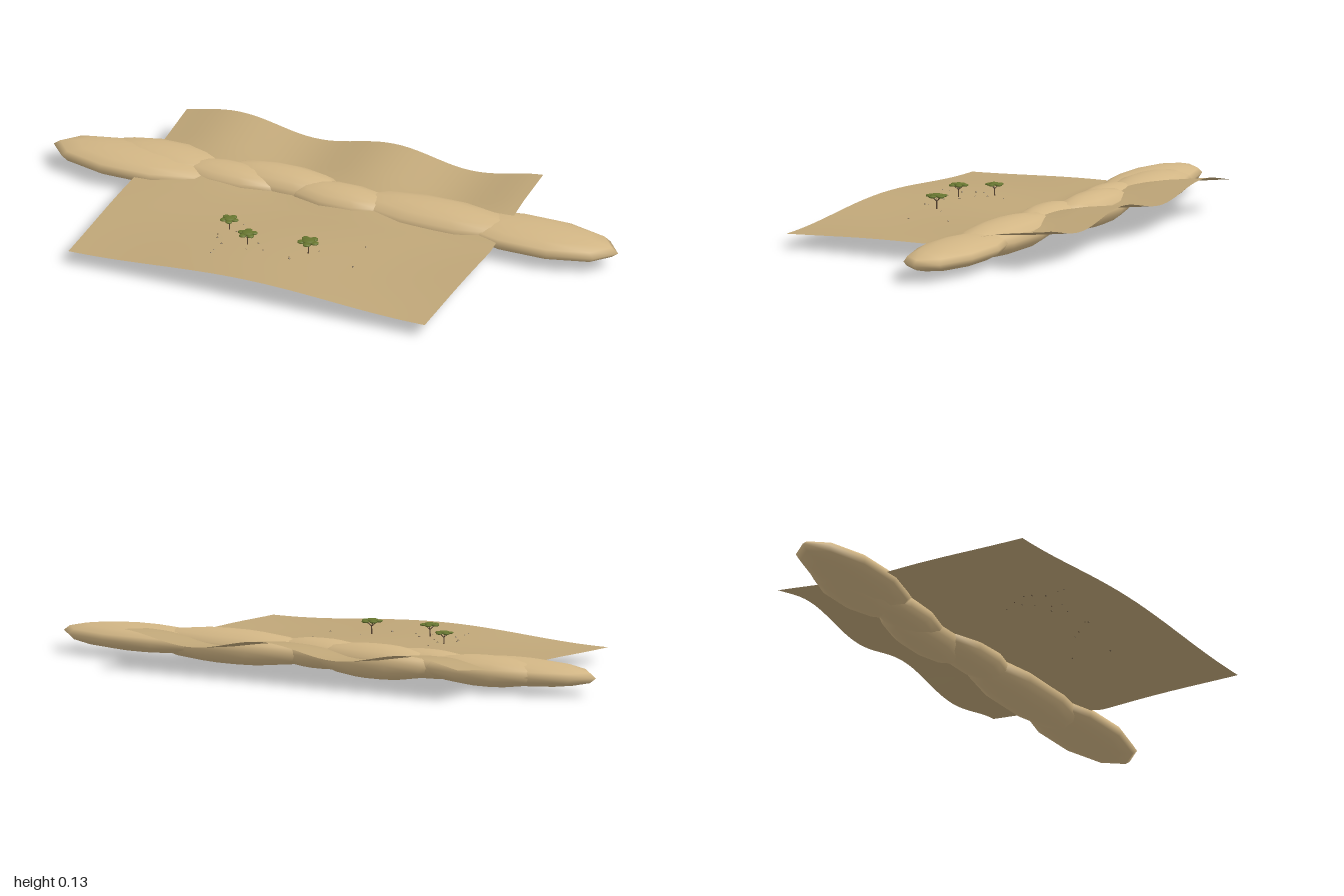
import * as THREE from 'three';

const mat = (name, color, extra = {}) => {
  const m = new THREE.MeshStandardMaterial({ color, ...extra });
  m.name = name;
  return m;
};

// Ground height: gentle swell in front, rippled slope rising to the back
function groundHeight(x, z) {
  const back = Math.max(0, -z - 0.05) / 0.43;
  const front = Math.max(0, z + 0.05) / 0.53;
  const ripple = Math.cos((x - 0.08) * 2 * Math.PI / 0.555);
  const swell = Math.cos((x + 0.04) * 2 * Math.PI / 1.25 + (0.48 - z) * 2);
  return 0.06 + 0.055 * back + 0.02 * Math.min(1, back * 1.6) * ripple
    + 0.015 * front * swell + 0.003 * Math.sin(x * 9 + z * 8) * (1 - back) * (1 - front);
}

export function createModel() {
  const model = new THREE.Group();
  model.name = 'desertLandscape';
  const sand = mat('sand', 0xbfa678, { side: THREE.DoubleSide });
  const dune = mat('duneSand', 0xd2b685);
  const bark = mat('bark', 0x5a4632);
  const leaf = mat('leaf', 0x66752f);
  const stone = mat('stone', 0x75634a);

  const add = (parent, name, geometry, material, x = 0, y = 0, z = 0) => {
    const mesh = new THREE.Mesh(geometry, material);
    mesh.name = name;
    mesh.position.set(x, y, z);
    parent.add(mesh);
    return mesh;
  };

  // Wavy ground sheet
  const ground = new THREE.PlaneGeometry(1.275, 0.96, 48, 36);
  ground.rotateX(-Math.PI / 2).translate(-0.0275, 0, 0);
  const p = ground.attributes.position;
  for (let i = 0; i < p.count; i++) p.setY(i, groundHeight(p.getX(i), p.getZ(i)));
  ground.computeVertexNormals();
  add(model, 'ground', ground, sand);

  // Row of flattened dunes: x, z, half-length, half-height, half-depth
  const dunes = [
    [-0.70, -0.160, 0.30, 0.044, 0.113],
    [-0.61, -0.205, 0.24, 0.050, 0.100],
    [-0.37, -0.180, 0.20, 0.048, 0.075],
    [-0.20, -0.215, 0.24, 0.058, 0.083],
    [0.03, -0.180, 0.20, 0.050, 0.080],
    [0.36, -0.195, 0.33, 0.057, 0.100],
    [0.70, -0.205, 0.30, 0.044, 0.115],
  ];
  const ball = new THREE.SphereGeometry(1, 10, 8);
  const ridge = new THREE.Group();
  ridge.name = 'duneRidge';
  model.add(ridge);
  dunes.forEach(([x, z, rx, ry, rz]) =>
    add(ridge, 'dune', ball, dune, x, ry > 0.055 ? 0.058 : 0.06, z).scale.set(rx, ry, rz));

  // Thin limb between two points
  const limb = (parent, name, a, b, r0, r1) => {
    const dir = b.clone().sub(a);
    const mid = a.clone().add(b).multiplyScalar(0.5);
    const mesh = add(parent, name, new THREE.CylinderGeometry(r1, r0, dir.length(), 5), bark, mid.x, mid.y, mid.z);
    mesh.quaternion.setFromUnitVectors(new THREE.Vector3(0, 1, 0), dir.normalize());
  };

  // Flat-topped trees with forked branches and lobed crowns
  const crown = new THREE.SphereGeometry(1, 8, 6);
  const trees = [[-0.23, 0.16, 0.92], [-0.13, 0.24, 0.98], [0.075, 0.21, 1.08]];
  trees.forEach(([x, z, size], k) => {
    const tree = new THREE.Group();
    tree.name = 'tree';
    tree.position.set(x, groundHeight(x, z) - 0.002, z);
    tree.scale.setScalar(size);
    model.add(tree);
    const fork = new THREE.Vector3(0, 0.026, 0);
    limb(tree, 'trunk', new THREE.Vector3(), fork, 0.0025, 0.0018);
    add(tree, 'crown', crown, leaf, 0, 0.045, 0).scale.set(0.021, 0.0055, 0.021);
    for (let i = 0; i < 5; i++) {
      const a = i * Math.PI * 0.4 + k * 0.7;
      const c = Math.cos(a), s = Math.sin(a);
      limb(tree, 'branch', fork, new THREE.Vector3(c * 0.018, 0.041, s * 0.018), 0.0014, 0.0009);
      add(tree, 'crownLobe', crown, leaf, c * 0.022, 0.0425, s * 0.022).scale.set(0.013, 0.0045, 0.013);
    }
  });

  // Scattered pebbles
  const pebble = new THREE.IcosahedronGeometry(0.0035, 0);
  const spots = [
    [-0.20, 0.11], [-0.25, 0.21], [-0.24, 0.235], [-0.215, 0.32], [-0.215, 0.345], [-0.21, 0.27],
    [-0.12, 0.275], [-0.065, 0.26], [0.035, 0.275], [0.03, 0.265], [0.225, 0.085], [0.24, 0.225],
    [-0.17, 0.20], [-0.20, 0.17], [-0.10, 0.22], [0.10, 0.18],
  ];
  spots.forEach(([x, z], i) =>
    add(model, 'pebble', pebble, stone, x, groundHeight(x, z), z).scale.setScalar(0.7 + (i % 3) * 0.2));

  return model;
}
